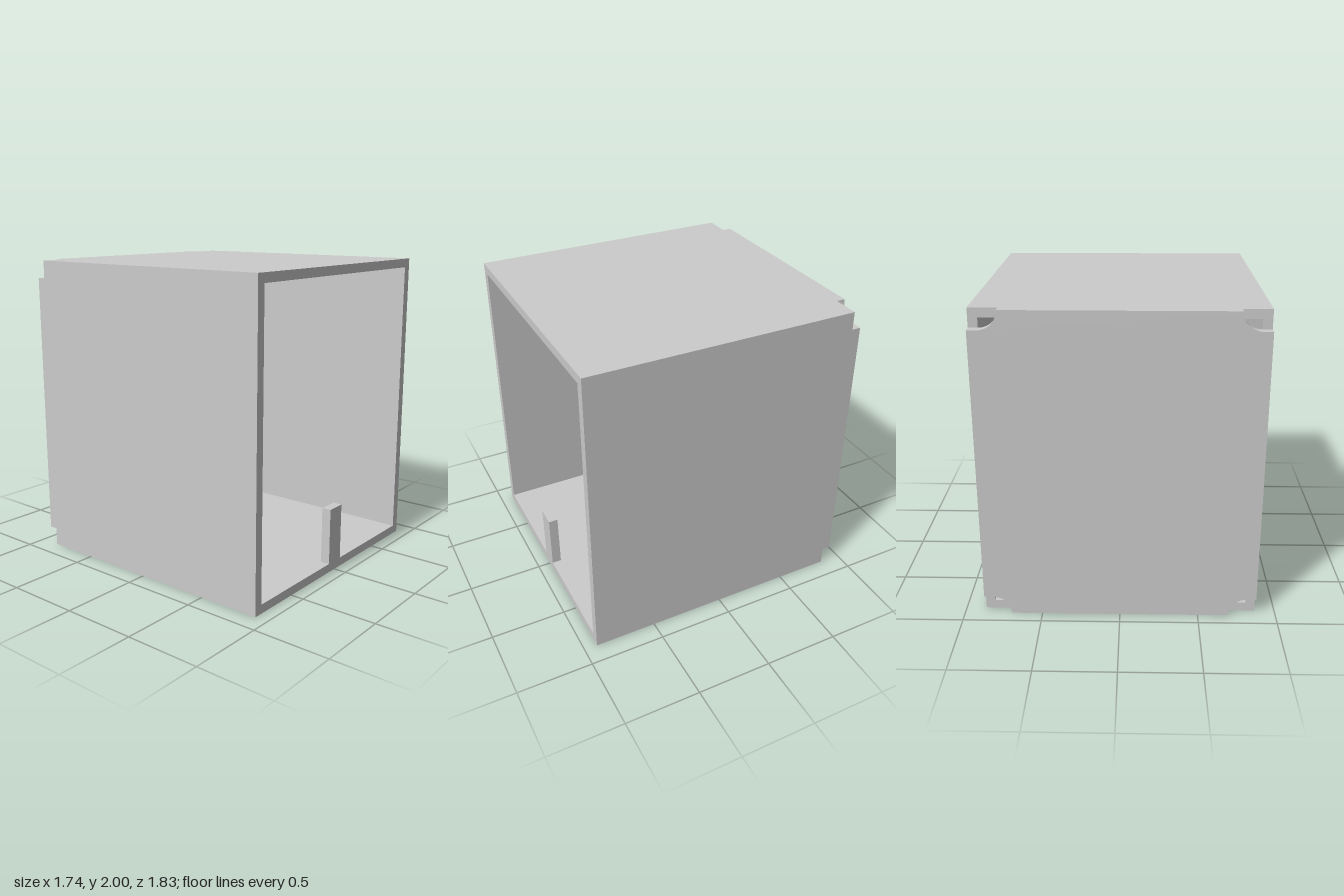
import * as THREE from 'three';

const W = 0.872, D = 0.914, H = 2, T = 0.058; // half width, half depth, height, wall
const R = 0.118; // corner notch radius

const material = new THREE.MeshStandardMaterial({ color: 0xcccccc });

function add(group, name, geometry) {
  const mesh = new THREE.Mesh(geometry, material);
  mesh.name = name;
  group.add(mesh);
  return mesh;
}

// Post standing on the floor, given its x centre and z range
function addPost(group, name, x, z0, z1) {
  const w = 0.135, y0 = T - 0.01, y1 = 0.433;
  add(group, name, new THREE.BoxGeometry(w, y1 - y0, z1 - z0))
    .position.set(x, (y0 + y1) / 2, (z0 + z1) / 2);
}

// Rectangle path, used for the outline and the opening of the shell
function rectangle(path, x, y0, y1) {
  path.moveTo(-x, y0);
  path.lineTo(x, y0);
  path.lineTo(x, y1);
  path.lineTo(-x, y1);
  path.closePath();
  return path;
}

// Back panel outline: each corner has a rounded notch running out to the side
function backOutline() {
  const corner = [];
  const cx = W - T, steps = 12;
  for (let i = 0; i <= steps; i++) {
    const a = (i / steps) * Math.PI / 2;
    corner.push(new THREE.Vector2(cx - R * Math.cos(a), -H / 2 + R * Math.sin(a)));
  }
  corner.push(new THREE.Vector2(W, -H / 2 + R));
  const flip = (sx, sy) => {
    const pts = corner.map(p => new THREE.Vector2(p.x * sx, p.y * sy + H / 2));
    return sx * sy < 0 ? pts.reverse() : pts;
  };
  return new THREE.Shape([...flip(1, 1), ...flip(1, -1), ...flip(-1, -1), ...flip(-1, 1)]);
}

export function createModel() {
  const group = new THREE.Group();
  group.name = 'openBox';

  // Four walls, open at the front
  const shell = rectangle(new THREE.Shape(), W, 0, H);
  shell.holes.push(rectangle(new THREE.Path(), W - T, T, H - T));
  add(group, 'walls', new THREE.ExtrudeGeometry(shell, { depth: 2 * D - T, bevelEnabled: false }))
    .position.z = -D + T;

  // Back panel with notched corners
  add(group, 'backPanel', new THREE.ExtrudeGeometry(backOutline(), { depth: T, bevelEnabled: false }))
    .position.z = -D;

  // Two square posts against the back, one thin stop at the front edge
  for (const [side, name] of [[1, 'leftPost'], [-1, 'rightPost']]) {
    addPost(group, name, side * 0.605, -D + T, -0.725);
  }
  addPost(group, 'frontStop', 0, D - 0.062, D);

  return group;
}
